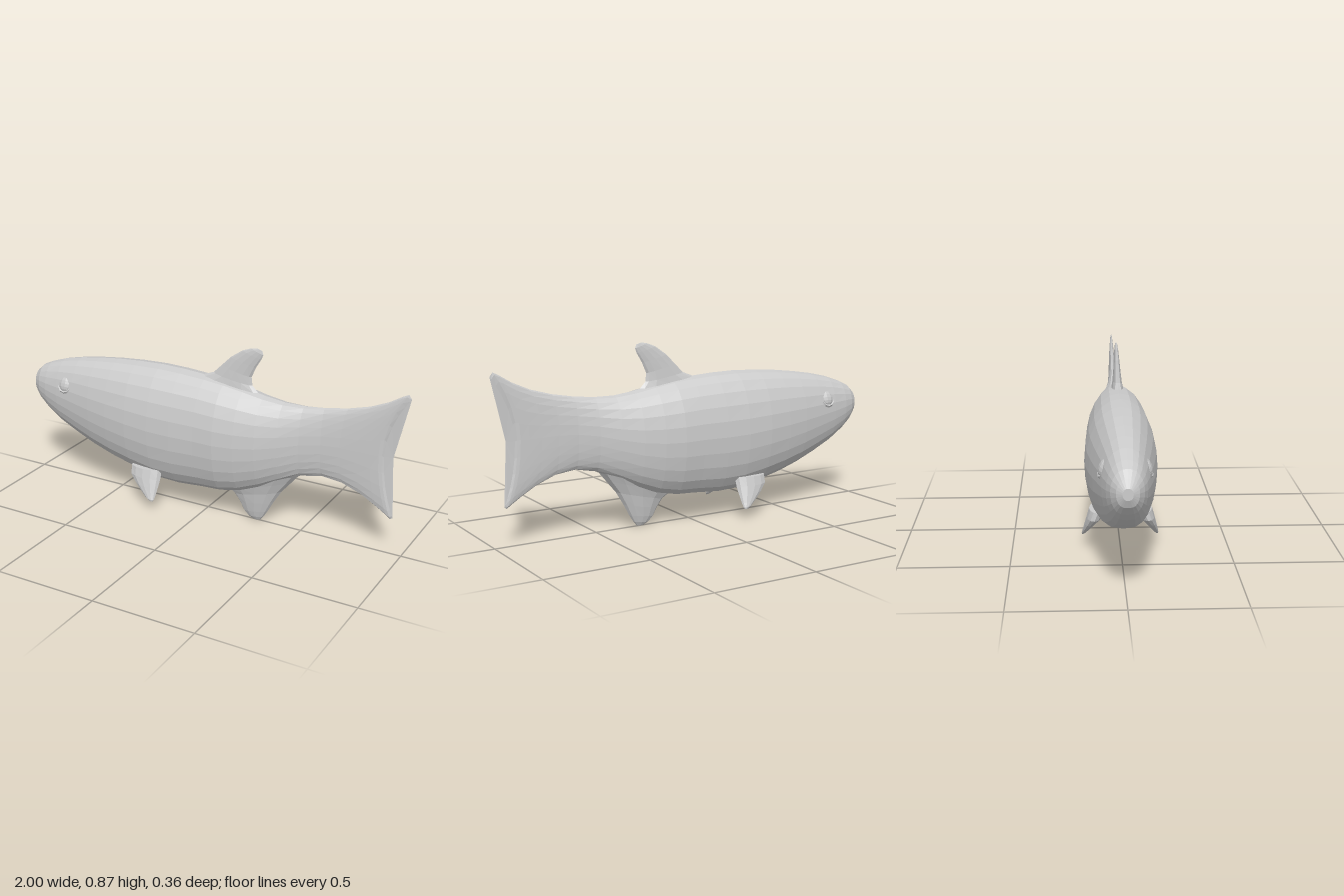
import * as THREE from 'three';

const material = new THREE.MeshStandardMaterial({ color: 0xcccccc, flatShading: true });

// Skins a list of closed rings and closes both ends with a fan.
function loft(name, rings) {
  const n = rings[0].length;
  const points = rings.flat();
  const index = [];
  for (let i = 0; i < rings.length - 1; i++) {
    for (let j = 0; j < n; j++) {
      const a = i * n + j, b = i * n + (j + 1) % n;
      index.push(a, b, a + n, b, b + n, a + n);
    }
  }
  for (const end of [0, rings.length - 1]) {
    const centre = new THREE.Vector3();
    rings[end].forEach(p => centre.addScaledVector(p, 1 / n));
    const c = points.push(centre) - 1;
    for (let j = 0; j < n; j++) {
      const a = end * n + j, b = end * n + (j + 1) % n;
      if (end === 0) index.push(c, b, a); else index.push(c, a, b);
    }
  }
  const geometry = new THREE.BufferGeometry().setFromPoints(points);
  geometry.setIndex(index);
  geometry.computeVertexNormals();
  const mesh = new THREE.Mesh(geometry, material);
  mesh.name = name;
  return mesh;
}

// Body section: rounder above, fuller below; the edges sweep back in the tail.
function bodyRing([x, top, bottom, width, sweepTop = 0, sweepBottom = 0]) {
  const ring = [], sides = 24;
  for (let j = 0; j < sides; j++) {
    const a = j / sides * Math.PI * 2;
    const v = Math.cos(a), s = Math.sin(a);
    const z = width * Math.sign(s) * Math.abs(s) ** (v < 0 ? 0.7 : 0.95);
    ring.push(new THREE.Vector3(
      x + v * v * (v > 0 ? sweepTop : sweepBottom),
      (top + bottom) / 2 + v * (top - bottom) / 2, z));
  }
  return ring;
}

// Fin sections from root to tip: [frontX, frontY, backX, backY, halfThickness, z]
function fin(name, sections, side = 1) {
  const dir = Math.sign(sections[sections.length - 1][1] - sections[0][1]);
  const sides = 12;
  return loft(name, sections.map(([fx, fy, bx, by, half, z = 0]) => {
    const ring = [];
    for (let j = 0; j < sides; j++) {
      const a = j / sides * Math.PI * 2;
      const t = 0.5 + 0.5 * Math.sin(a);
      ring.push(new THREE.Vector3(
        fx + (bx - fx) * t, fy + (by - fy) * t, z * side + dir * half * Math.cos(a)));
    }
    return ring;
  }));
}

export function createModel() {
  const fish = new THREE.Group();
  fish.name = 'fish';

  // Body and tail fin: [x, top, bottom, halfWidth, sweepTop, sweepBottom]
  fish.add(loft('bodyAndTail', [
    [-1.0, 0.515, 0.465, 0.022],
    [-0.985, 0.55, 0.43, 0.048],
    [-0.95, 0.582, 0.39, 0.07],
    [-0.9, 0.605, 0.35, 0.086],
    [-0.82, 0.632, 0.3, 0.102],
    [-0.72, 0.655, 0.255, 0.118],
    [-0.61, 0.673, 0.212, 0.135],
    [-0.5, 0.687, 0.178, 0.149],
    [-0.38, 0.697, 0.15, 0.161],
    [-0.25, 0.703, 0.125, 0.165],
    [-0.13, 0.701, 0.12, 0.161],
    [0.0, 0.693, 0.13, 0.155],
    [0.1, 0.683, 0.135, 0.152],
    [0.2, 0.667, 0.155, 0.137],
    [0.3, 0.647, 0.195, 0.116],
    [0.4, 0.635, 0.245, 0.089],
    [0.5, 0.636, 0.292, 0.06],
    [0.6, 0.647, 0.312, 0.041],
    [0.69, 0.667, 0.3, 0.031, 0.02, 0.01],
    [0.77, 0.697, 0.263, 0.025, 0.045, 0.025],
    [0.83, 0.735, 0.22, 0.021, 0.07, 0.04],
    [0.87, 0.772, 0.188, 0.018, 0.09, 0.05],
    [0.885, 0.784, 0.175, 0.014, 0.1, 0.053],
    [0.893, 0.765, 0.183, 0.006, 0.106, 0.056],
  ].map(bodyRing)));

  fish.add(fin('dorsalFin', [
    [-0.12, 0.64, 0.34, 0.6, 0.04],
    [-0.04, 0.688, 0.265, 0.652, 0.029],
    [0.03, 0.715, 0.233, 0.685, 0.023],
    [0.075, 0.76, 0.228, 0.725, 0.018],
    [0.12, 0.805, 0.25, 0.775, 0.014],
    [0.18, 0.847, 0.277, 0.82, 0.01],
    [0.225, 0.864, 0.286, 0.843, 0.007],
    [0.252, 0.868, 0.28, 0.86, 0.003],
  ]));

  fish.add(fin('analFin', [
    [0.04, 0.2, 0.52, 0.33, 0.07],
    [0.1, 0.145, 0.45, 0.245, 0.048],
    [0.145, 0.118, 0.395, 0.18, 0.036],
    [0.175, 0.08, 0.355, 0.115, 0.029],
    [0.197, 0.04, 0.325, 0.06, 0.021],
    [0.222, 0.016, 0.303, 0.025, 0.014],
    [0.25, 0.002, 0.285, 0.004, 0.005],
  ]));

  for (const side of [1, -1]) {
    const label = side > 0 ? 'left' : 'right';

    fish.add(fin(label + 'PelvicFin', [
      [-0.37, 0.2, -0.2, 0.2, 0.04, 0.105],
      [-0.367, 0.16, -0.2, 0.155, 0.035, 0.122],
      [-0.33, 0.125, -0.203, 0.115, 0.025, 0.141],
      [-0.285, 0.09, -0.207, 0.08, 0.016, 0.158],
      [-0.253, 0.066, -0.21, 0.06, 0.01, 0.169],
      [-0.235, 0.055, -0.215, 0.052, 0.004, 0.173],
    ], side));

    // Slightly raised eyeball with a low lid rim
    const eye = new THREE.Mesh(new THREE.SphereGeometry(0.04, 10, 8), material);
    eye.name = label + 'Eye';
    eye.scale.set(1, 1, 0.5);
    eye.position.set(-0.765, 0.535, 0.09 * side);
    eye.rotation.set(-0.4 * side, -0.15 * side, 0);
    const lid = new THREE.Mesh(new THREE.TorusGeometry(0.042, 0.009, 5, 12), material);
    lid.name = label + 'EyeRim';
    lid.position.copy(eye.position);
    lid.rotation.copy(eye.rotation);
    fish.add(eye, lid);
  }
  return fish;
}
